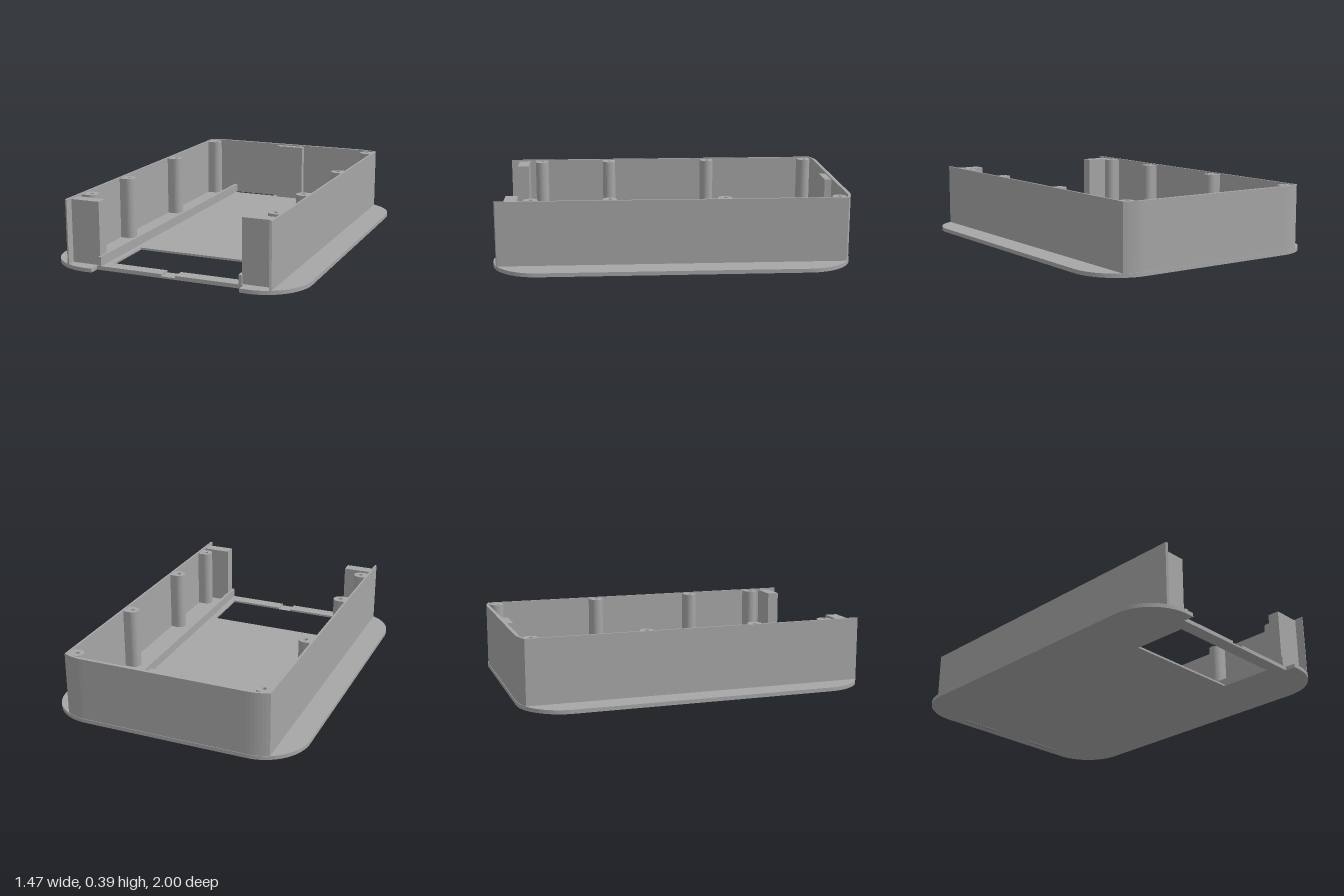
import * as THREE from 'three';

const TOP = 0.385, FLOOR = 0.022;
const CORNER = { x: 0.475, z: 0.74, r: 0.26 };

// Points are [x, z] on the ground plane, extruded from y0 to y1.
const toVec = ([x, z]) => new THREE.Vector2(x, -z);

function slab(name, points, y0, y1, material, holes = []) {
  const shape = new THREE.Shape(points.map(toVec));
  holes.forEach((h) => shape.holes.push(new THREE.Path(h.map(toVec))));
  const geo = new THREE.ExtrudeGeometry(shape, { depth: y1 - y0, bevelEnabled: false });
  geo.rotateX(-Math.PI / 2).translate(0, y0, 0);
  const mesh = new THREE.Mesh(geo, material);
  mesh.name = name;
  return mesh;
}

function arc(cx, cz, r, a0, a1, n) {
  return Array.from({ length: n + 1 }, (_, i) => {
    const a = a0 + ((a1 - a0) * i) / n;
    return [cx + r * Math.cos(a), cz + r * Math.sin(a)];
  });
}

const rect = (x0, x1, z0, z1) => [[x0, z0], [x1, z0], [x1, z1], [x0, z1]];
const mirrorLoop = (half) => [...half, ...half.map(([x, z]) => [-x, z]).reverse()];

// z of the rounded base outline at a given x
const edgeZ = (x) => CORNER.z + Math.sqrt(CORNER.r ** 2 - Math.max(0, x - CORNER.x) ** 2);

export function createModel() {
  const grey = new THREE.MeshStandardMaterial({ color: 0xa6a6a6 });
  grey.name = 'grey plastic';
  const model = new THREE.Group();
  model.name = 'enclosure';
  const add = (...args) => model.add(slab(...args));

  // Base plate with rounded corners and a recess in the front edge
  const { x: cx, z: cz, r } = CORNER;
  const half = [
    ...arc(cx, -cz, r, -Math.PI / 2, 0, 20),
    ...arc(cx, cz, r, 0, Math.PI / 2, 20),
    [0.43, 1], [0.43, 0.94],
  ];
  const slots = [rect(-0.4, -0.12, -0.975, -0.93), rect(0.12, 0.4, -0.975, -0.93)];
  add('basePlateLower', mirrorLoop(half), 0, 0.01, grey,
    [rect(-0.37, 0.37, 0.54, 0.865), ...slots]);

  // Upper layer of the plate: a small groove joins the window to the front edge
  const grooved = [...half, [0.04, 0.94], [0.04, 0.865], [0.37, 0.865], [0.37, 0.54]];
  add('basePlateUpper', mirrorLoop(grooved), 0.01, FLOOR, grey, slots);

  // Side and back walls in one U, ends trimmed to the rounded base outline
  const outer = [[0.583, edgeZ(0.583)], [0.595, edgeZ(0.595)]];
  for (let i = 0; i <= 6; i++) {
    const x = 0.595 - (0.12 * i) / 6;
    outer.push([x, -edgeZ(x) + 0.003]);
  }
  const inner = [[-0.583, -0.962], [-0.53, -0.977], [0.53, -0.977], [0.583, -0.962]];
  add('walls', [...mirrorLoop(outer), ...inner], FLOOR, TOP, grey);

  // Thick pad in the middle of the back wall
  add('backPad', rect(-0.09, 0.09, -0.98, -0.936), FLOOR, 0.377, grey);

  for (const s of [1, -1]) {
    const side = s > 0 ? 'left' : 'right';
    const flip = (pts) => pts.map(([x, z]) => [s * x, z]);

    // Low guide rail along the floor
    add(side + 'Rail', flip(rect(0.402, 0.42, -0.978, 0.942)), FLOOR, 0.075, grey);

    // Front corner post
    add(side + 'FrontPost', flip(rect(0.415, 0.584, 0.857, 0.926)), FLOOR, 0.377, grey);

    // Screw columns joined to the wall, with blind holes
    for (const z of [-0.925, -0.287, 0.348, 0.78]) {
      const d = [[0.585, z - 0.04], ...arc(0.542, z, 0.04, -Math.PI / 2, -Math.PI * 1.5, 16), [0.585, z + 0.04]];
      const hole = arc(0.542, z, 0.013, 0, Math.PI * 2, 16).slice(0, -1);
      add(side + 'ScrewColumn', flip(d), FLOOR, 0.2, grey);
      add(side + 'ScrewColumnTop', flip(d), 0.2, 0.38, grey, [flip(hole)]);
    }
  }
  return model;
}
